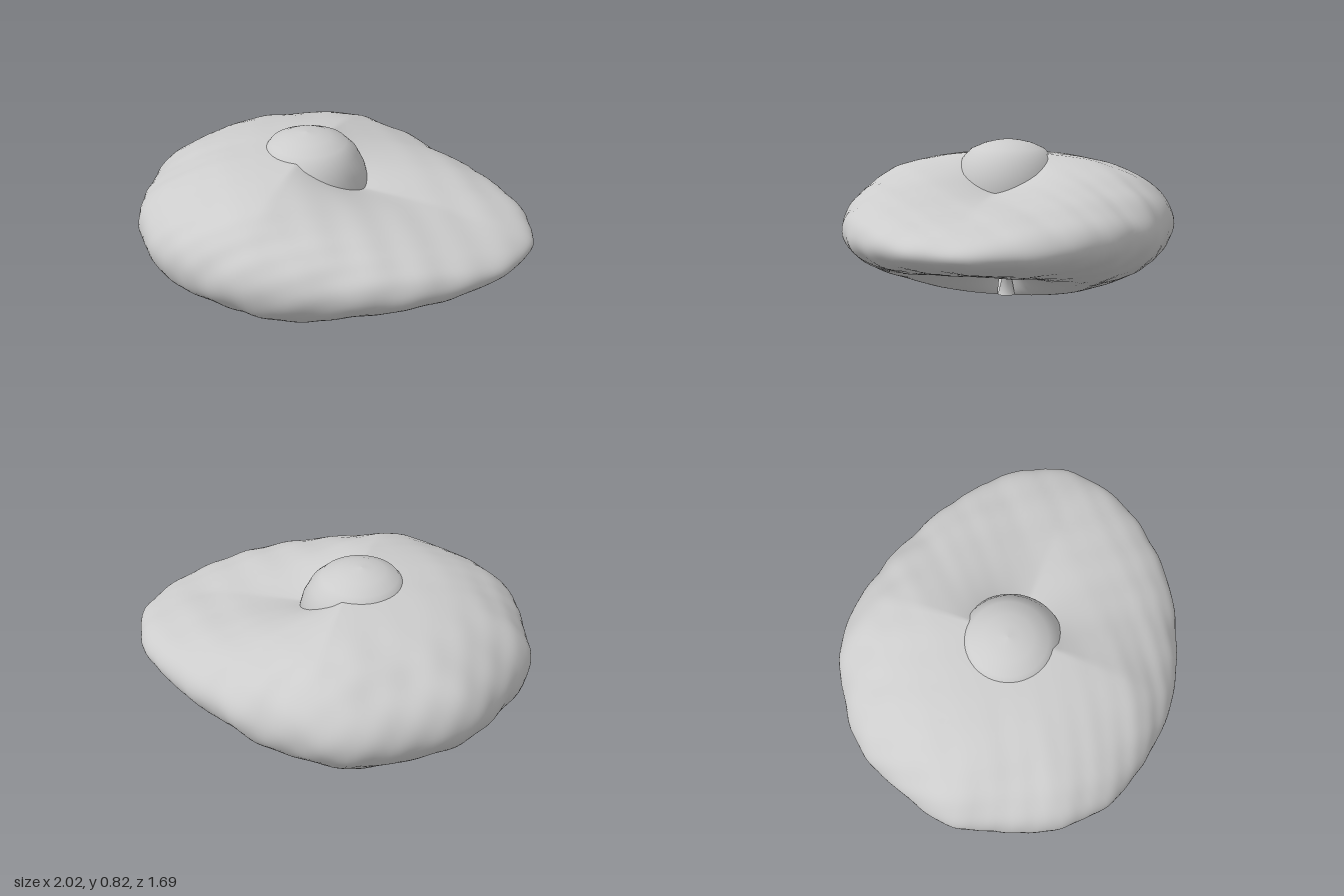
import * as THREE from 'three';

const AXIS_X = -0.11; // the hole's axis
const RIM_Y = 0.4;

// Irregular outline of the rim, as [x, z], running from +x towards -z
const RIM = [
  [1, -0.08], [0.85, -0.4], [0.6, -0.6], [0.35, -0.73], [0, -0.83], [-0.32, -0.85],
  [-0.6, -0.7], [-0.82, -0.52], [-0.95, -0.25], [-1, 0], [-0.95, 0.25], [-0.9, 0.4],
  [-0.7, 0.66], [-0.32, 0.82], [-0.1, 0.83], [0.2, 0.78], [0.5, 0.66], [0.8, 0.42], [0.95, 0.18],
];

// Smooth lumps from layered sine waves
function lumps(x, y, z) {
  return Math.sin(9 * x + 4 * z + 1) * Math.sin(8 * z - 5 * y) * 0.5
    + Math.sin(17 * x - 11 * y + 2) * Math.sin(19 * z + 7 * y + 1) * 0.35
    + Math.sin(31 * x + 13 * z) * Math.sin(29 * z - 23 * y + 4) * 0.2;
}

// Swept ring: every slice is a rounded lobe, thick on one side and pinched towards +x
function lobedRing(around, slices) {
  const rim = new THREE.CatmullRomCurve3(
    RIM.map(([x, z]) => new THREE.Vector3(x, RIM_Y, z)), true);
  const positions = [];
  const indices = [];
  const inner = 0.045;
  for (let i = 0; i < around; i++) {
    const edge = rim.getPointAt(i / around);
    const dx = edge.x - AXIS_X;
    const radius = Math.hypot(dx, edge.z);
    const cos = dx / radius;
    const sin = edge.z / radius;
    // Heights of the slice beside the core, above and below
    const top = 0.58 + 0.18 * Math.min(1, Math.pow(1 - cos, 0.65));
    const bottom = 0.012 + 0.19 * Math.pow(Math.max(0, cos), 1.8);
    for (let j = 0; j <= slices; j++) {
      const phi = (j / slices) * Math.PI;
      const upper = phi < Math.PI / 2;
      const t = Math.pow(Math.abs(Math.sin(phi)), upper ? 0.85 : 1);
      const r = inner + (radius - inner) * t;
      const x = AXIS_X + cos * r;
      const z = sin * r;
      const y = RIM_Y + Math.cos(phi) * (upper ? top - RIM_Y : RIM_Y - bottom);
      // Lumps grow towards the rim
      const n = lumps(x, y, z) * 0.022 * t * t;
      positions.push(x + cos * n * 0.7, y + Math.cos(phi) * n, z + sin * n * 0.7);
    }
  }
  const row = slices + 1;
  for (let i = 0; i < around; i++) {
    const next = (i + 1) % around;
    for (let j = 0; j < slices; j++) {
      const a = i * row + j;
      const b = next * row + j;
      indices.push(a, a + 1, b, b, a + 1, b + 1);
    }
  }
  const geometry = new THREE.BufferGeometry();
  geometry.setAttribute('position', new THREE.Float32BufferAttribute(positions, 3));
  geometry.setIndex(indices);
  geometry.computeVertexNormals();
  return geometry;
}

// Lemon-shaped core filling the hole, with its upper tip leaning to -x
function leaningCore() {
  const profile = [
    [0.045, 0.015], [0.025, 0.1], [0.08, 0.11], [0.1, 0.15], [0.13, 0.21], [0.19, 0.3],
    [0.25, 0.45], [0.27, 0.58], [0.26, 0.66], [0.235, 0.73], [0.19, 0.78],
    [0.12, 0.81], [0.06, 0.823], [0, 0.83],
  ].map(([r, y]) => new THREE.Vector2(r, y));
  const geometry = new THREE.LatheGeometry(profile, 48);
  const p = geometry.attributes.position;
  for (let i = 0; i < p.count; i++) {
    p.setX(i, p.getX(i) - Math.max(0, p.getY(i) - 0.6) * 0.18);
  }
  return geometry;
}

export function createModel() {
  const group = new THREE.Group();
  const stone = new THREE.MeshStandardMaterial({ color: 0xcccccc, side: THREE.DoubleSide });
  stone.name = 'pale grey';

  const body = new THREE.Mesh(lobedRing(144, 56), stone);
  body.name = 'lumpyRing';
  group.add(body);

  const core = new THREE.Mesh(leaningCore(), stone);
  core.name = 'core';
  core.position.x = AXIS_X;
  group.add(core);

  return group;
}
